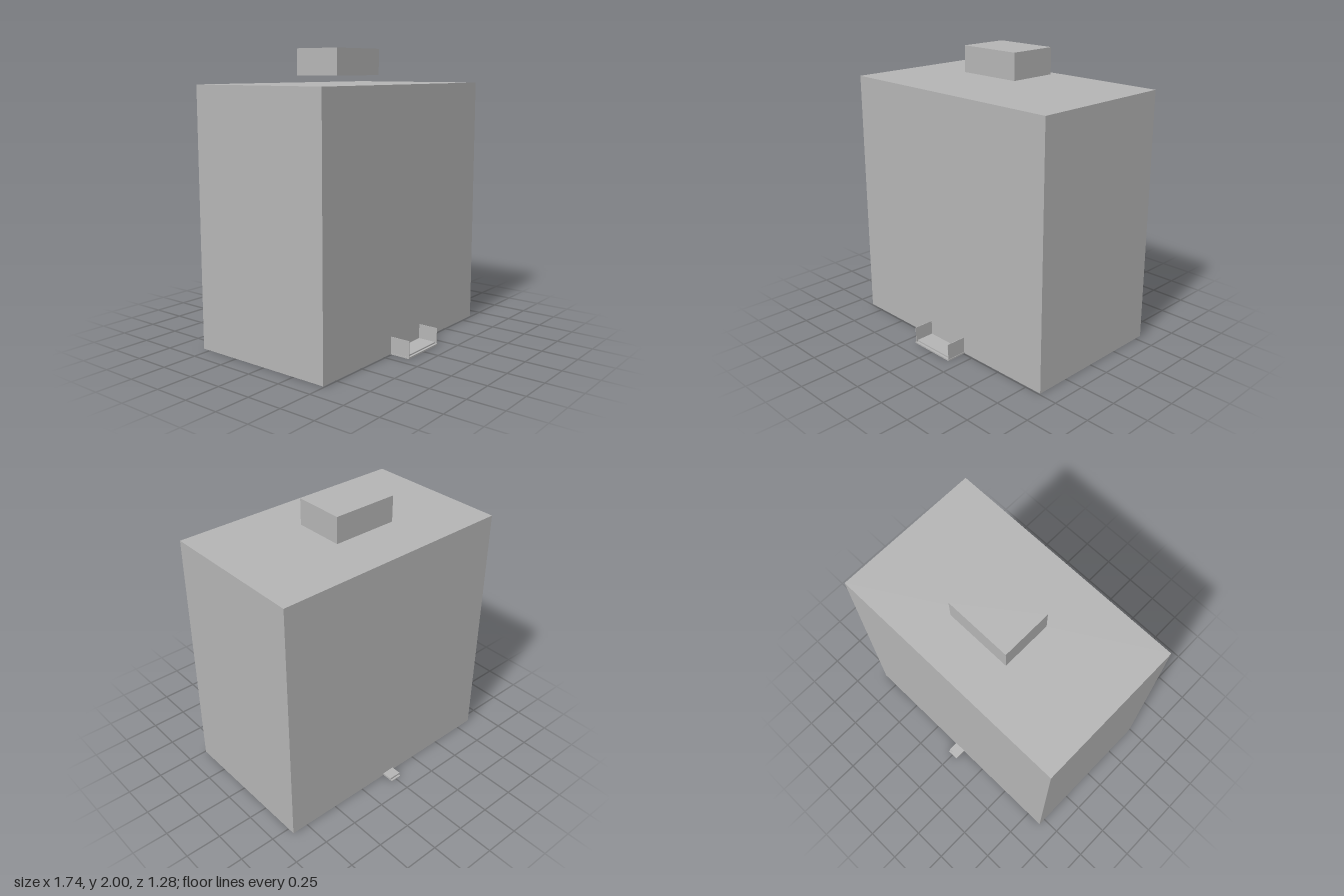
import * as THREE from 'three';

export function createModel() {
  const model = new THREE.Group();
  model.name = 'building';
  const grey = new THREE.MeshStandardMaterial({ color: 0xb4b4b4 });
  grey.name = 'plain grey';

  // Box given by its extents on each axis
  function block(name, [x0, x1], [y0, y1], [z0, z1]) {
    const mesh = new THREE.Mesh(new THREE.BoxGeometry(x1 - x0, y1 - y0, z1 - z0), grey);
    mesh.name = name;
    mesh.position.set((x0 + x1) / 2, (y0 + y1) / 2, (z0 + z1) / 2);
    model.add(mesh);
  }

  // Main volume and the raised box hovering above its roof
  block('mainBody', [-0.87, 0.868], [0.003, 1.765], [-0.553, 0.493]);
  block('roofBox', [-0.232, 0.23], [1.82, 2], [-0.262, 0.085]);

  // Front porch: two shallow steps between thin side walls
  block('frontLowerStep', [-0.175, 0.17], [0, 0.01], [0.49, 0.637]);
  block('frontUpperStep', [-0.17, 0.165], [0.01, 0.02], [0.49, 0.622]);
  for (const side of [-1, 1]) {
    const x = -0.0025 + side * 0.168;
    block(side < 0 ? 'rightPorchWall' : 'leftPorchWall',
      [x - 0.002, x + 0.002], [0.005, 0.12], [0.49, 0.635]);
  }

  // Small back doorstep
  block('backLowerStep', [-0.043, 0.039], [0, 0.006], [-0.638, -0.55]);
  block('backUpperStep', [-0.047, 0.043], [0.004, 0.02], [-0.624, -0.55]);

  return model;
}
